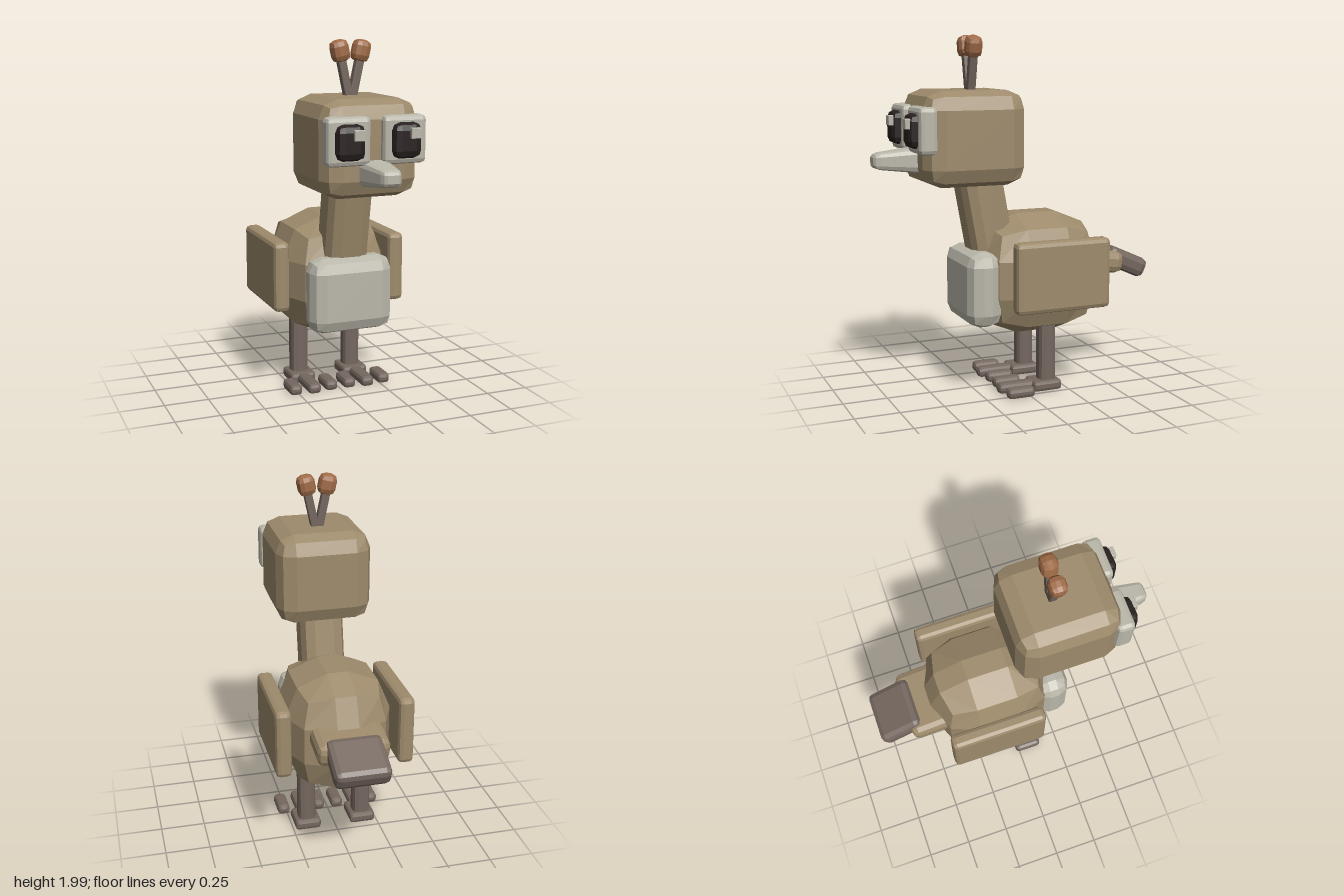
import * as THREE from 'three';
import { RoundedBoxGeometry } from 'three/addons/geometries/RoundedBoxGeometry.js';

function mat(name, color) {
  const m = new THREE.MeshStandardMaterial({ color, flatShading: true });
  m.name = name;
  return m;
}

export function createModel() {
  const tan = mat('tan', 0x9e8b6c);
  const grey = mat('warm grey', 0x74675f);
  const pale = mat('pale grey', 0xbab7aa);
  const black = mat('near black', 0x2a2020);
  const rust = mat('rust', 0xa06b47);

  const model = new THREE.Group();
  model.name = 'bird';

  // Faceted block: every edge is a two-facet bevel
  function block(name, material, size, radius, pos, parent = model) {
    const mesh = new THREE.Mesh(new RoundedBoxGeometry(...size, 1, radius), material);
    mesh.name = name;
    mesh.position.set(...pos);
    parent.add(mesh);
    return mesh;
  }

  // Body, chest, neck and head
  block('body', tan, [0.6, 0.69, 0.72], 0.24, [0, 0.665, -0.12]);
  block('chest', pale, [0.48, 0.42, 0.2], 0.075, [0, 0.61, 0.235]);
  block('neck', tan, [0.25, 0.62, 0.25], 0.07, [0, 1.04, 0.178]).rotation.x = 0.18;
  block('head', tan, [0.54, 0.515, 0.58], 0.1, [0, 1.447, 0.29]);

  // Two-part tail drooping backwards
  block('tailBase', tan, [0.4, 0.125, 0.32], 0.04, [0, 0.718, -0.465]).rotation.x = -0.14;
  block('tailTip', grey, [0.31, 0.115, 0.27], 0.035, [0, 0.69, -0.672]).rotation.x = -0.42;

  // Beak: a block narrowed towards its tip
  const beak = block('beak', pale, [0.18, 0.145, 0.3], 0.035, [0, 1.33, 0.66]);
  const p = beak.geometry.attributes.position;
  for (let i = 0; i < p.count; i++) {
    const t = (p.getZ(i) + 0.15) / 0.3;
    const k = 1.04 - 0.48 * t;
    p.setXY(i, p.getX(i) * k, p.getY(i) * k);
  }
  beak.geometry.computeVertexNormals();

  for (const s of [-1, 1]) {
    const side = s > 0 ? 'left' : 'right';

    // Eyes; both glints sit on the same side of their pupil
    const eye = new THREE.Group();
    eye.name = side + 'Eye';
    eye.position.set(s * 0.155, 1.5, 0);
    model.add(eye);
    block('eyeFrame', pale, [0.24, 0.25, 0.1], 0.025, [0, 0, 0.573], eye);
    block('pupil', black, [0.16, 0.185, 0.1], 0.04, [0, -0.002, 0.616], eye);
    block('glint', pale, [0.055, 0.055, 0.03], 0.003, [0.03, 0.038, 0.67], eye);

    // Wings
    block(side + 'Wing', tan, [0.09, 0.395, 0.56], 0.026, [s * 0.345, 0.697, -0.155]);

    // Head feathers
    block(side + 'FeatherStem', grey, [0.045, 0.26, 0.045], 0.006,
      [s * 0.031, 1.79, 0.25]).rotation.z = -s * 0.21;
    block(side + 'FeatherKnob', rust, [0.1, 0.118, 0.092], 0.034,
      [s * 0.06, 1.937, 0.25]).rotation.z = -s * 0.21;

    // Legs and three-toed feet
    const leg = new THREE.Group();
    leg.name = side + 'Leg';
    leg.position.set(s * 0.163, 0, 0);
    model.add(leg);
    block('shank', grey, [0.1, 0.46, 0.1], 0.03, [0, 0.25, -0.14], leg);
    block('heel', grey, [0.15, 0.06, 0.17], 0.018, [0, 0.035, -0.127], leg);
    block('middleToe', grey, [0.075, 0.06, 0.22], 0.022, [0, 0.035, 0.045], leg);
    for (const o of [-1, 1]) {
      block('outerToe', grey, [0.072, 0.06, 0.16], 0.022, [o * 0.107, 0.035, 0.06], leg);
    }
  }
  return model;
}
